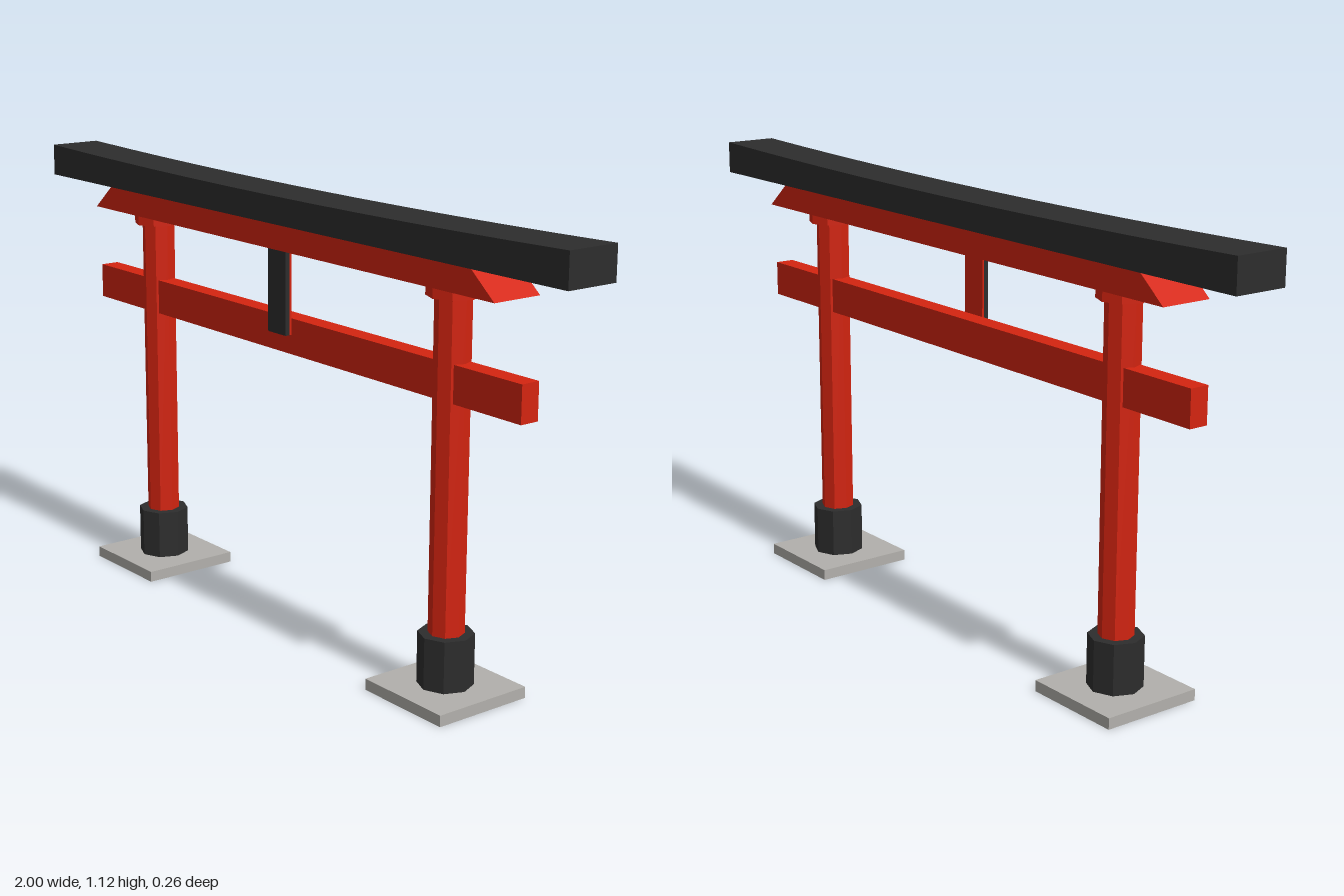
import * as THREE from 'three';

const flat = (name, color) => {
  const m = new THREE.MeshStandardMaterial({ color });
  m.name = name;
  return m;
};

export function createModel() {
  const red = flat('vermilion', 0xd42410);
  const black = flat('charcoal', 0x2d2d2d);
  const stone = flat('stone grey', 0xb2b0ac);
  const gate = new THREE.Group();
  gate.name = 'gate';

  const add = (parent, name, geometry, material, x = 0, y = 0, z = 0) => {
    const mesh = new THREE.Mesh(geometry, material);
    mesh.name = name;
    mesh.position.set(x, y, z);
    parent.add(mesh);
  };
  // box between two heights
  const box = (parent, name, mat, w, y0, y1, d, z = 0) =>
    add(parent, name, new THREE.BoxGeometry(w, y1 - y0, d), mat, 0, (y0 + y1) / 2, z);
  // faceted eight-sided drum between two heights
  const drum = (parent, name, mat, r, y0, y1) =>
    add(parent, name, new THREE.CylinderGeometry(r, r, y1 - y0, 8).toNonIndexed(), mat, 0, (y0 + y1) / 2);
  // front outline extruded symmetrically about z = 0
  const beam = (name, mat, points, depth) => {
    const shape = new THREE.Shape(points.map(([x, y]) => new THREE.Vector2(x, y)));
    const geo = new THREE.ExtrudeGeometry(shape, { depth, bevelEnabled: false });
    add(gate, name, geo, mat, 0, 0, -depth / 2);
  };

  // pillars with footing, sleeve and capital
  for (const [side, x] of [['left', 0.585], ['right', -0.585]]) {
    const pillar = new THREE.Group();
    pillar.name = side + 'Pillar';
    pillar.position.x = x;
    box(pillar, 'footing', stone, 0.262, 0, 0.028, 0.264);
    drum(pillar, 'sleeve', black, 0.067, 0.028, 0.155);
    drum(pillar, 'shaft', red, 0.043, 0.155, 0.95);
    drum(pillar, 'capital', red, 0.063, 0.95, 0.975);
    gate.add(pillar);
  }

  // drums are faceted
  gate.traverse((o) => {
    if (o.isMesh) o.geometry.computeVertexNormals();
  });

  // lower tie beam
  box(gate, 'tieBeam', red, 1.666, 0.712, 0.802, 0.05);

  // upper lintel, its ends slanting inwards towards the top
  beam('lintel', red, [[-0.785, 0.975], [0.785, 0.975], [0.71, 1.037], [-0.71, 1.037]], 0.134);

  // top beam with a gently rising upper edge
  const outline = [[-1, 1.037], [1, 1.037]];
  for (let i = 0; i <= 12; i++) {
    const x = 1 - i / 6;
    outline.push([x, 1.105 + 0.015 * x * x]);
  }
  beam('topBeam', black, outline, 0.139);

  // central tablet: dark front board on a red backing
  box(gate, 'tablet', black, 0.07, 0.762, 0.975, 0.013, 0.0405);
  box(gate, 'tabletBacking', red, 0.07, 0.762, 0.975, 0.005, 0.0315);

  return gate;
}
